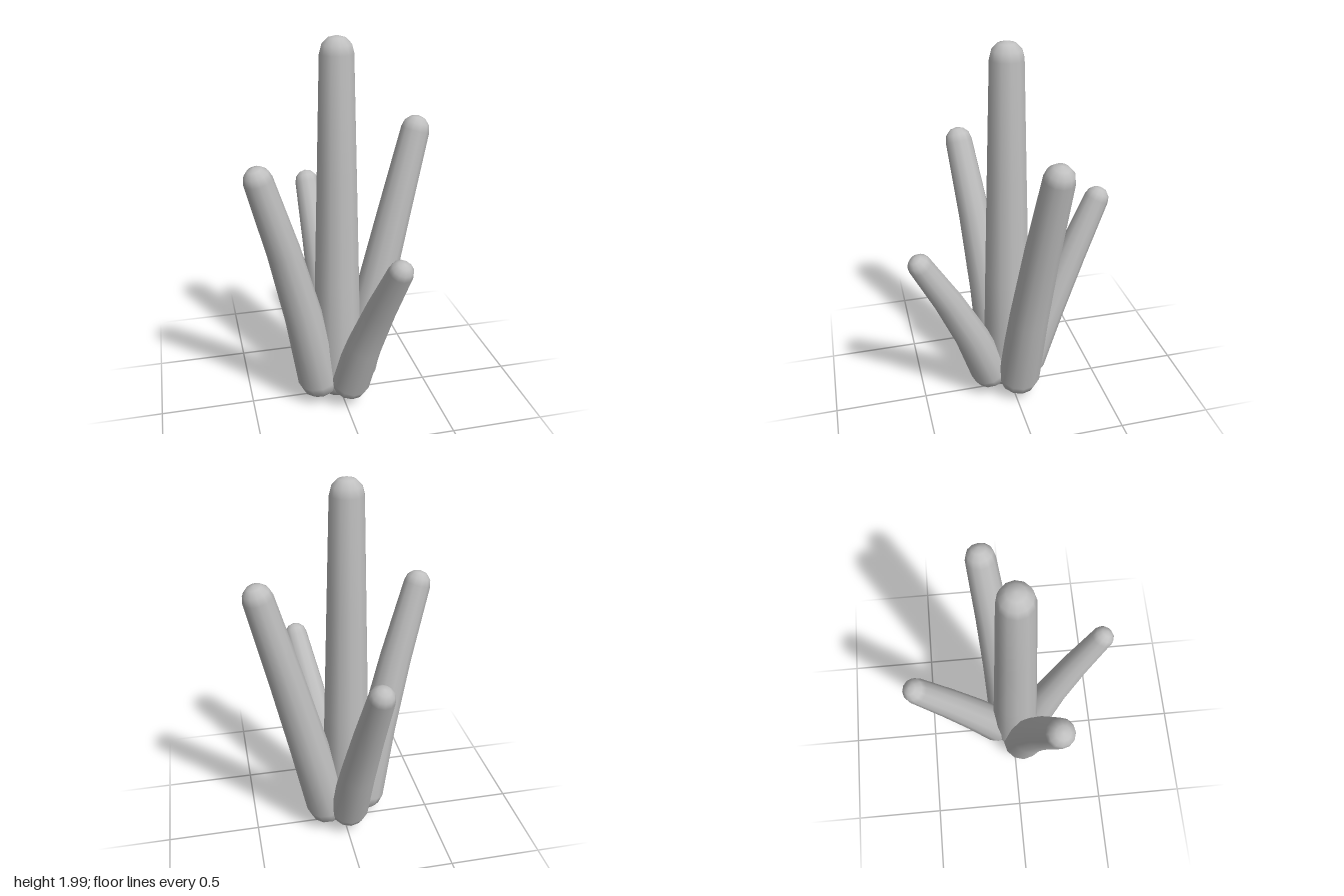
import * as THREE from 'three';
import { mergeVertices } from 'three/addons/utils/BufferGeometryUtils.js';

const SIDES = 12;
const BODY_STEPS = 3;
const CAP_STEPS = 3;
const UP = new THREE.Vector3(0, 1, 0);

// Tapered capsule profile: x is the radius, y runs -1..0 over the base cap,
// 0..1 along the body and 1..2 over the tip cap.
function stemProfile(rBase, rTip) {
  const points = [];
  for (let i = 0; i < CAP_STEPS; i++) {
    const a = (i / CAP_STEPS) * Math.PI / 2;
    points.push(new THREE.Vector2(rBase * Math.sin(a), -Math.cos(a)));
  }
  for (let i = 0; i <= BODY_STEPS; i++) {
    const t = i / BODY_STEPS;
    points.push(new THREE.Vector2(THREE.MathUtils.lerp(rBase, rTip, t), t));
  }
  for (let i = 1; i <= CAP_STEPS; i++) {
    const a = (i / CAP_STEPS) * Math.PI / 2;
    points.push(new THREE.Vector2(i === CAP_STEPS ? 0 : rTip * Math.cos(a), 1 + Math.sin(a)));
  }
  return points;
}

// Bends the capsule along a curve through the three given centres.
function stemGeometry({ path, rBase, rTip }) {
  const curve = new THREE.CatmullRomCurve3(path.map((p) => new THREE.Vector3(...p)));
  const geometry = new THREE.LatheGeometry(stemProfile(rBase, rTip), SIDES);
  const pos = geometry.attributes.position;
  const turn = new THREE.Quaternion();
  for (let i = 0; i < pos.count; i++) {
    const v = pos.getY(i);
    const t = THREE.MathUtils.clamp(v, 0, 1);
    const tangent = curve.getTangentAt(t);
    const reach = v < 0 ? v * rBase : v > 1 ? (v - 1) * rTip : 0;
    turn.setFromUnitVectors(UP, tangent);
    const p = new THREE.Vector3(pos.getX(i), 0, pos.getZ(i)).applyQuaternion(turn);
    p.add(curve.getPointAt(t)).addScaledVector(tangent, reach);
    pos.setXYZ(i, p.x, p.y, p.z);
  }
  // Weld the seam so the shading runs smoothly round the stem
  geometry.deleteAttribute('uv');
  geometry.deleteAttribute('normal');
  const welded = mergeVertices(geometry, 1e-5);
  welded.computeVertexNormals();
  return welded;
}

export function createModel() {
  const group = new THREE.Group();
  group.name = 'stemCluster';
  const grey = new THREE.MeshStandardMaterial({ color: 0xc0c0c0 });
  grey.name = 'grey';

  const stems = [
    { name: 'centreStem', rBase: 0.138, rTip: 0.086,
      path: [[-0.02, 0.143, 0.015], [-0.02, 1.03, 0.015], [-0.02, 1.914, 0.013]] },
    { name: 'rightStem', rBase: 0.115, rTip: 0.072,
      path: [[-0.135, 0.145, 0.05], [-0.258, 0.74, 0.1], [-0.437, 1.37, 0.18]] },
    { name: 'leftStem', rBase: 0.118, rTip: 0.076,
      path: [[0.1, 0.147, -0.025], [0.255, 0.8, -0.06], [0.43, 1.484, -0.115]] },
    { name: 'frontStem', rBase: 0.106, rTip: 0.062,
      path: [[0.03, 0.155, 0.135], [0.092, 0.53, 0.275], [0.175, 0.978, 0.5]] },
    { name: 'backStem', rBase: 0.108, rTip: 0.066,
      path: [[-0.015, 0.155, -0.1], [-0.042, 0.6, -0.275], [-0.08, 1.108, -0.497]] },
  ];
  for (const stem of stems) {
    const mesh = new THREE.Mesh(stemGeometry(stem), grey);
    mesh.name = stem.name;
    group.add(mesh);
  }
  return group;
}
